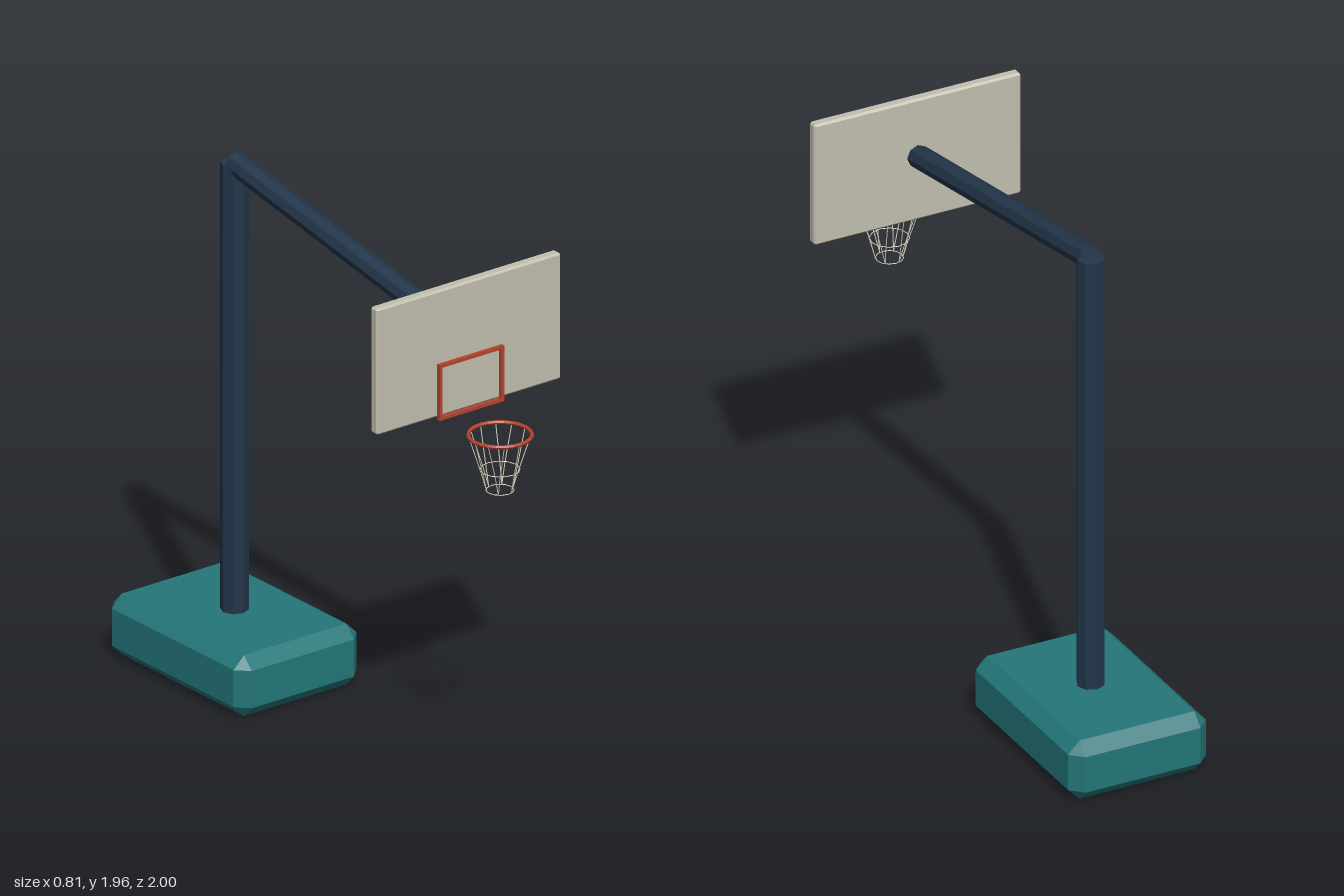
import * as THREE from 'three';
import { ConvexGeometry } from 'three/addons/geometries/ConvexGeometry.js';

const material = (name, color, flatShading = true) =>
  Object.assign(new THREE.MeshStandardMaterial({ color, flatShading }), { name });

// Box with every edge and corner cut off at 45 degrees
function chamferBox(w, h, d, c) {
  const points = [];
  for (const sx of [-1, 1]) for (const sy of [-1, 1]) for (const sz of [-1, 1])
    for (let axis = 0; axis < 3; axis++) {
      const inset = [c, c, c];
      inset[axis] = 0;
      points.push(new THREE.Vector3(
        sx * (w / 2 - inset[0]), sy * (h / 2 - inset[1]), sz * (d / 2 - inset[2])));
    }
  return new ConvexGeometry(points);
}

// Straight rod between two points
function rod(a, b, radius, sides) {
  const dir = b.clone().sub(a);
  const geometry = new THREE.CylinderGeometry(radius, radius, dir.length(), sides);
  geometry.applyQuaternion(new THREE.Quaternion().setFromUnitVectors(
    new THREE.Vector3(0, 1, 0), dir.normalize()));
  const mid = a.clone().add(b).multiplyScalar(0.5);
  return geometry.translate(mid.x, mid.y, mid.z);
}

export function createModel() {
  const model = new THREE.Group();
  model.name = 'basketballHoop';
  const teal = material('teal base', 0x237679);
  const navy = material('navy steel', 0x22364a);
  const board = material('pale board', 0xc2beaf);
  const red = material('red paint', 0xb3432f);
  const cord = material('net cord', 0xd8d0bc);

  function add(name, geometry, mat, parent = model) {
    const mesh = new THREE.Mesh(geometry, mat);
    mesh.name = name;
    parent.add(mesh);
    return mesh;
  }
  const v = (x, y, z) => new THREE.Vector3(x, y, z);

  // Weighted base, post and sloping arm
  add('base', chamferBox(0.54, 0.23, 0.775, 0.045), teal).position.set(0, 0.115, -0.6125);
  add('post', rod(v(0, 0.2, -0.61), v(0, 1.915, -0.61), 0.05, 8), navy);
  add('arm', rod(v(0, 1.915, -0.61), v(0, 1.69, 0.68), 0.042, 8), navy);

  // Backboard with its target frame
  add('backboard', chamferBox(0.81, 0.476, 0.04, 0.007), board).position.set(0, 1.677, 0.69);
  const target = new THREE.Group();
  target.name = 'targetFrame';
  target.position.set(0, 1.535, 0.717);
  model.add(target);
  for (const s of [-1, 1]) {
    add('targetRail', new THREE.BoxGeometry(0.284, 0.012, 0.016), red, target).position.y = s * 0.099;
    add('targetSide', new THREE.BoxGeometry(0.012, 0.186, 0.016), red, target).position.x = s * 0.136;
  }

  // Rim
  const hoop = new THREE.Group();
  hoop.name = 'hoop';
  hoop.position.set(0, 1.394, 0.882);
  model.add(hoop);
  add('rim', new THREE.TorusGeometry(0.111, 0.007, 6, 24).rotateX(Math.PI / 2), red, hoop);

  // Net: zigzag cords joined by two loops
  const COUNT = 12, CORD = 0.0018;
  const levels = [[0.11, 0], [0.07, -0.13], [0.049, -0.208]];
  const at = ([r, y], angle) => v(r * Math.sin(angle), y, r * Math.cos(angle));
  const step = (Math.PI * 2) / COUNT;
  for (let i = 0; i < COUNT; i++) {
    const twist = (i % 2 ? -1 : 1) * step * 0.25;
    for (let k = 0; k < 2; k++)
      add('netCord', rod(at(levels[k], i * step + twist * k),
        at(levels[k + 1], i * step + twist * (k + 1)), CORD, 4), cord, hoop);
  }
  for (const [r, y] of levels.slice(1))
    add('netLoop', new THREE.TorusGeometry(r, CORD, 4, COUNT).rotateX(Math.PI / 2), cord, hoop)
      .position.y = y;

  return model;
}
